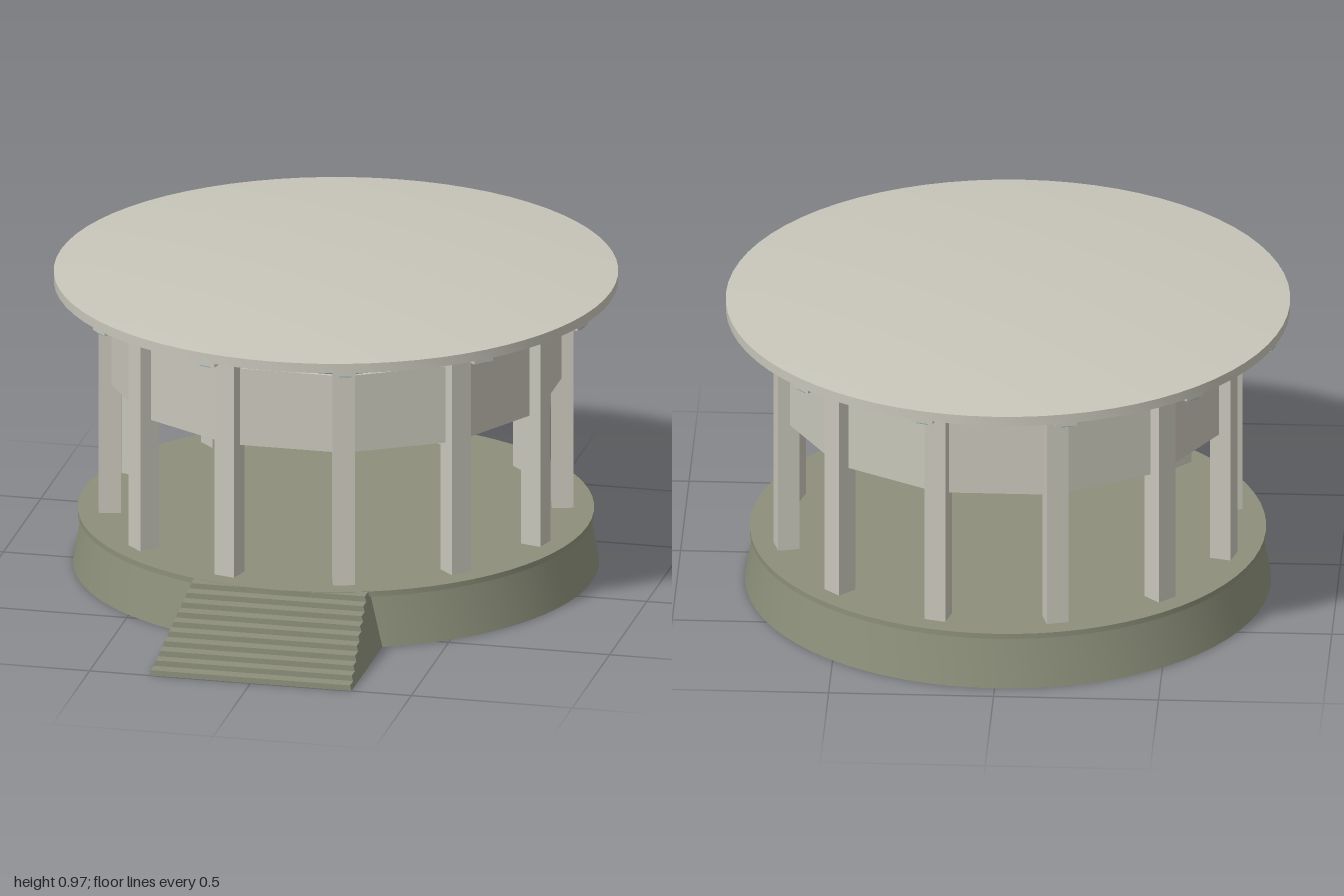
import * as THREE from 'three';
import { toCreasedNormals } from 'three/addons/utils/BufferGeometryUtils.js';

const SIDES = 12;
const CENTRE_Z = -0.145;

export function createModel() {
  const model = new THREE.Group();
  model.name = 'roundPavilion';

  const mat = (name, color, side = THREE.FrontSide) => {
    const m = new THREE.MeshStandardMaterial({ color, side });
    m.name = name;
    return m;
  };
  const concrete = mat('pale concrete', 0xc8c6ba);
  const stone = mat('olive stone', 0x8d907b);
  const glass = mat('blue glass', 0x8cacb3, THREE.DoubleSide);

  const add = (parent, name, geometry, material) => {
    const mesh = new THREE.Mesh(geometry, material);
    mesh.name = name;
    parent.add(mesh);
    return mesh;
  };

  // Revolved profile, listed upwards along the outside; [radius, y]
  const revolve = (points, segments, start = 0, crease = 0.35) =>
    toCreasedNormals(new THREE.LatheGeometry(
      points.map(([r, y]) => new THREE.Vector2(r, y)), segments, start), crease);

  const hall = new THREE.Group();
  hall.name = 'hall';
  hall.position.z = CENTRE_Z;
  model.add(hall);

  // Battered base with a projecting floor slab
  add(hall, 'base', revolve([[0, 0], [0.797, 0], [0.768, 0.16], [0, 0.16]], 72), stone);
  add(hall, 'floorSlab', revolve([[0, 0.158], [0.782, 0.158], [0.782, 0.175], [0, 0.175]], 72), stone);

  // Shallow domed roof
  const dome = [[0, 0.903], [0.855, 0.903], [0.855, 0.933]];
  for (let i = 1; i <= 10; i++) {
    const r = 0.855 * (1 - i / 10);
    dome.push([r, 0.933 + 0.034 * (1 - (r / 0.855) ** 2)]);
  }
  add(hall, 'roof', revolve(dome, 72), concrete);

  // Twelve-sided wall band and clerestory, with corners on the columns
  const start = Math.PI / SIDES;
  const toCorner = 1 / Math.cos(Math.PI / SIDES);
  const outer = 0.667 * toCorner, inner = 0.615 * toCorner;
  add(hall, 'wallBand', revolve([
    [outer, 0.59], [outer, 0.835], [inner, 0.835], [inner, 0.59], [outer, 0.59],
  ], SIDES, start), concrete);
  add(hall, 'clerestory', revolve([
    [0.655 * toCorner, 0.834], [0.68 * toCorner, 0.904],
  ], SIDES, start), glass);

  // Columns, each carrying a radial roof beam
  for (let i = 0; i < SIDES; i++) {
    const bay = new THREE.Group();
    bay.name = 'columnBay' + (i + 1);
    bay.rotation.y = start + i * 2 * Math.PI / SIDES;
    hall.add(bay);
    add(bay, 'column', new THREE.BoxGeometry(0.067, 0.725, 0.066), concrete)
      .position.set(0, 0.5365, 0.686);
    add(bay, 'roofBeam', new THREE.BoxGeometry(0.067, 0.022, 0.2), concrete)
      .position.set(0, 0.9, 0.746);
    add(bay, 'beamStrip', new THREE.BoxGeometry(0.036, 0.004, 0.125), glass)
      .position.set(0, 0.888, 0.783);
  }

  // Entrance steps with sides leaning inwards
  const stairs = new THREE.Group();
  stairs.name = 'stairs';
  model.add(stairs);
  const steps = 10, rise = 0.0174, run = 0.041, backZ = 0.45;
  const halfWidth = (y) => 0.314 - 0.044 * y / (steps * rise);
  for (let i = 0; i < steps; i++) {
    const y0 = i * rise, y1 = y0 + rise;
    const section = new THREE.Shape([
      new THREE.Vector2(-halfWidth(y0), y0), new THREE.Vector2(halfWidth(y0), y0),
      new THREE.Vector2(halfWidth(y1), y1), new THREE.Vector2(-halfWidth(y1), y1),
    ]);
    const step = new THREE.ExtrudeGeometry(section, { depth: 1 - i * run - backZ, bevelEnabled: false });
    add(stairs, 'step' + (i + 1), step, stone).position.z = backZ;
  }

  return model;
}
